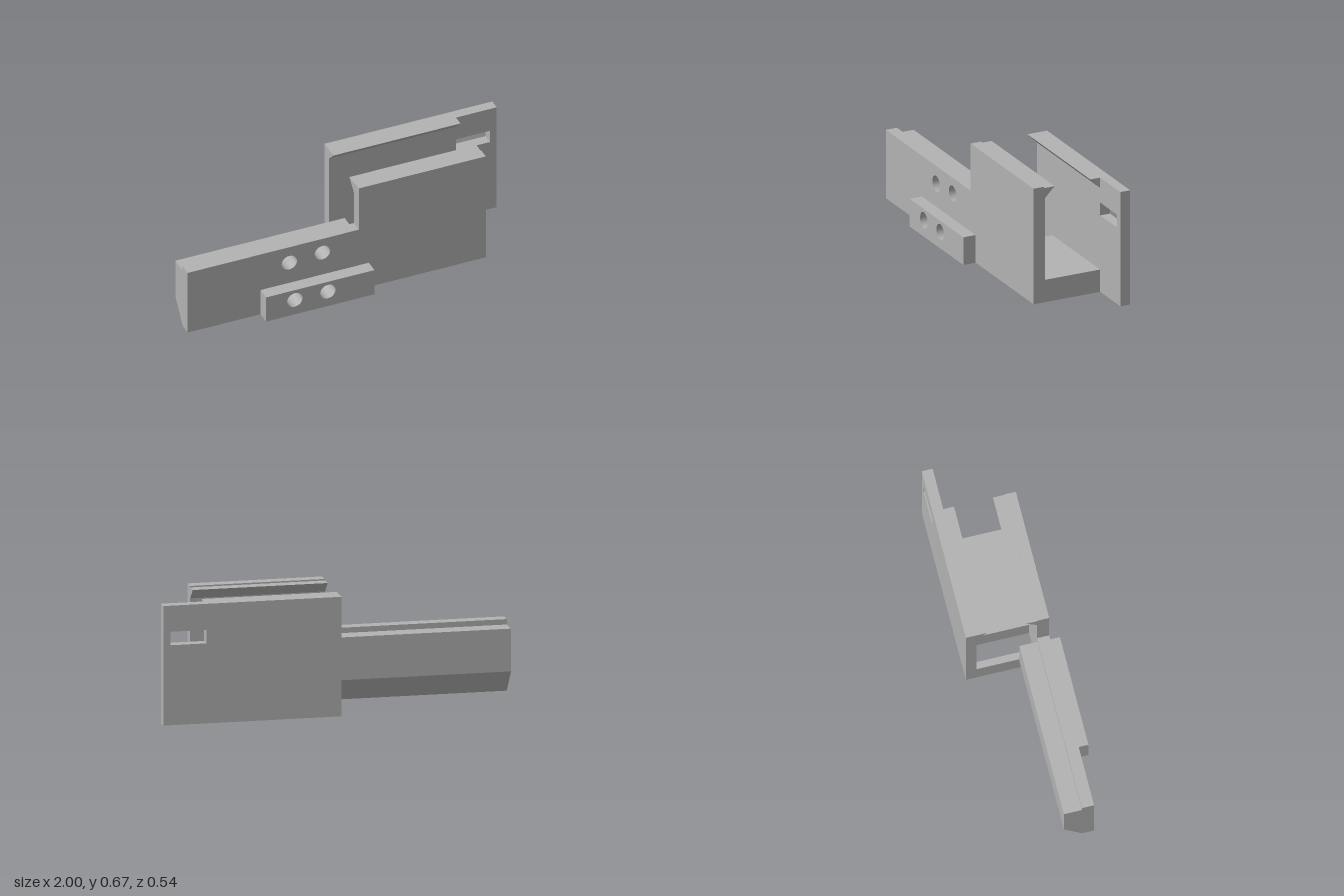
import * as THREE from 'three';
import { toCreasedNormals } from 'three/addons/utils/BufferGeometryUtils.js';

const grey = new THREE.MeshStandardMaterial({ color: 0xb2b2b2, side: THREE.DoubleSide });
grey.name = 'grey';

function outline(points) {
  return new THREE.Shape(points.map(([a, b]) => new THREE.Vector2(a, b)));
}

function rect(x0, x1, y0, y1) {
  return [[x0, y0], [x1, y0], [x1, y1], [x0, y1]];
}

export function createModel() {
  const model = new THREE.Group();
  model.name = 'bracket';

  function add(name, geometry) {
    const mesh = new THREE.Mesh(geometry, grey);
    mesh.name = name;
    model.add(mesh);
    return mesh;
  }

  // Upright plate: x-y outline with holes, between two depths
  function plate(name, points, holes, z0, z1) {
    const shape = outline(points);
    shape.holes.push(...holes);
    const geo = new THREE.ExtrudeGeometry(shape, { depth: z1 - z0, bevelEnabled: false, curveSegments: 32 });
    geo.translate(0, 0, z0);
    add(name, toCreasedNormals(geo, 0.6));
  }

  // Bar running along x with a z-y cross-section
  function bar(name, points, x0, x1) {
    const shape = outline(points.map(([z, y]) => [-z, y]));
    const geo = new THREE.ExtrudeGeometry(shape, { depth: x1 - x0, bevelEnabled: false });
    geo.rotateY(Math.PI / 2);
    geo.translate(x0, 0, 0);
    add(name, geo);
  }

  function box(name, x0, x1, y0, y1, z0, z1) {
    const geo = new THREE.BoxGeometry(x1 - x0, y1 - y0, z1 - z0);
    geo.translate((x0 + x1) / 2, (y0 + y1) / 2, (z0 + z1) / 2);
    add(name, geo);
  }

  const R = 0.045;
  const upper = [[-0.4, 0.295], [-0.205, 0.306]];
  const lower = [[-0.4, 0.096], [-0.205, 0.096]];
  const circle = ([x, y]) => new THREE.Path().absarc(x, y, R, 0, Math.PI * 2, true);

  // Channel: front wall with inward lip, floor either side of the opening
  bar('frontWall', [[0.195, 0], [0.195, 0.673], [0.132, 0.673], [0.132, 0.665],
    [0.067, 0.665], [0.127, 0.605], [0.127, 0]], 0.01, 0.76);
  box('floorStrip', 0.01, 0.05, 0, 0.13, -0.21, 0.127);
  box('floor', 0.19, 0.76, 0, 0.13, -0.21, 0.127);

  // Back wall with slotted tab, and its lip
  plate('backWall', rect(0.01, 1, 0, 0.665),
    [new THREE.Path(rect(0.76, 0.96, 0.445, 0.52).map(([x, y]) => new THREE.Vector2(x, y)))], -0.27, -0.21);
  bar('backLip', [[-0.21, 0.605], [-0.15, 0.665], [-0.21, 0.665]], 0.01, 0.76);

  // Side arm and the mounting block on its front
  plate('armPlate', rect(-1, 0.01, 0, 0.398), [...upper, ...lower].map(circle), 0.127, 0.195);
  plate('mountingBlock', rect(-0.57, 0.07, 0, 0.161), lower.map(circle), 0.195, 0.27);

  // Chamfered rail behind the arm, left open where it meets the plate
  const section = [[0.127, 0.368], [0.026, 0.368], [0.026, 0.13], [0.127, 0]];
  const pos = [];
  const vertex = (x, [z, y]) => pos.push(x, y, z);
  for (let i = 0; i < 3; i++) {
    const [a, b] = [section[i], section[i + 1]];
    vertex(-1, a); vertex(0, a); vertex(0, b);
    vertex(-1, a); vertex(0, b); vertex(-1, b);
  }
  for (const i of [1, 2]) {
    vertex(-1, section[0]); vertex(-1, section[i]); vertex(-1, section[i + 1]);
    vertex(0, section[0]); vertex(0, section[i + 1]); vertex(0, section[i]);
  }
  const rail = new THREE.BufferGeometry();
  rail.setAttribute('position', new THREE.Float32BufferAttribute(pos, 3));
  rail.computeVertexNormals();
  add('rail', rail);

  // Blind ends of the screw holes
  const depth = 0.067;
  for (const [x, y] of upper) {
    const wall = new THREE.CylinderGeometry(R, R, depth, 32, 1, true);
    wall.rotateX(Math.PI / 2);
    add('holeWall', wall).position.set(x, y, 0.127 - depth / 2);
    add('holeEnd', new THREE.CircleGeometry(R, 32)).position.set(x, y, 0.127 - depth);
  }
  for (const [x, y] of lower) {
    add('holeEnd', new THREE.CircleGeometry(R, 32)).position.set(x, y, 0.128);
  }
  return model;
}
